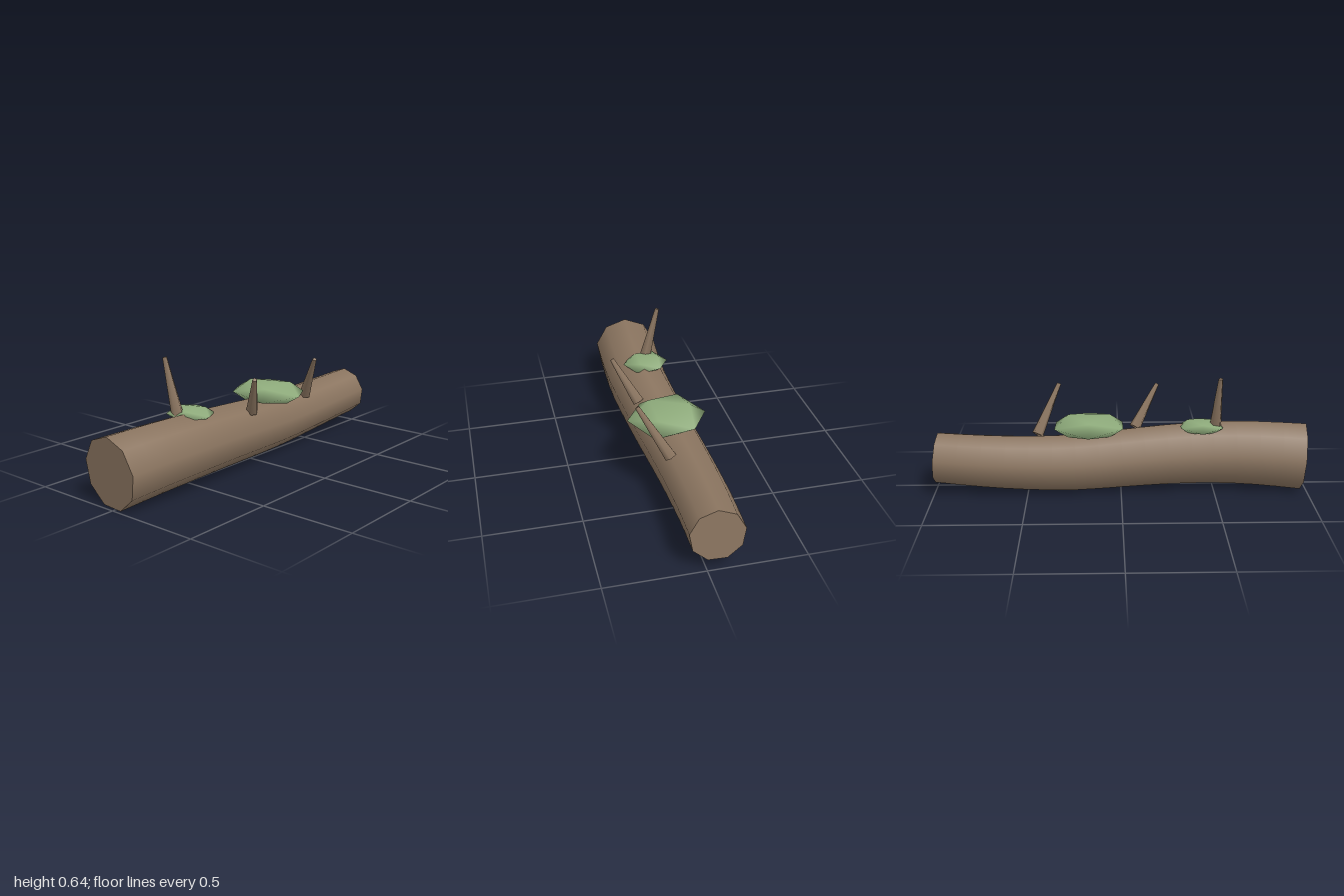
import * as THREE from 'three';

const V = (x, y, z) => new THREE.Vector3(x, y, z);
const UP = V(0, 1, 0);

// Tapered nine-sided log bent along a curve, with a ridge on top
function logGeometry(curve, r0, r1) {
  const geo = new THREE.CylinderGeometry(r1, r0, 1, 9, 16);
  const pos = geo.attributes.position, nor = geo.attributes.normal;
  const p = new THREE.Vector3(), frame = new THREE.Matrix4();
  for (let i = 0; i < pos.count; i++) {
    p.fromBufferAttribute(pos, i);
    const t = THREE.MathUtils.clamp(p.y + 0.5, 0, 1);
    const tangent = curve.getTangentAt(t);
    const side = tangent.clone().cross(UP).normalize();
    const top = side.clone().cross(tangent);
    frame.makeBasis(side, tangent, top);
    p.setY(0).applyMatrix4(frame).add(curve.getPointAt(t));
    pos.setXYZ(i, p.x, p.y, p.z);
    p.fromBufferAttribute(nor, i).transformDirection(frame);
    nor.setXYZ(i, p.x, p.y, p.z);
  }
  return geo;
}

// Smooth icosahedron standing on a face, squashed to a flat clump
function clumpGeometry(radius, height) {
  const geo = new THREE.IcosahedronGeometry(1, 0);
  const turn = new THREE.Quaternion().setFromUnitVectors(V(1, 1, 1).normalize(), UP);
  geo.applyQuaternion(turn);
  // Turn one lower corner to point backwards
  const pos = geo.attributes.position, p = new THREE.Vector3();
  let angle = 0;
  for (let i = 0; i < pos.count; i++) {
    p.fromBufferAttribute(pos, i);
    if (p.y < 0 && p.y > -0.4) angle = Math.atan2(p.x, p.z);
  }
  geo.rotateY(Math.PI - angle);
  // Normals follow the corners so that the faces blend
  for (let i = 0; i < pos.count; i++) {
    p.fromBufferAttribute(pos, i).normalize();
    geo.attributes.normal.setXYZ(i, p.x, p.y, p.z);
  }
  geo.scale(radius, height, radius);
  return geo;
}

export function createModel() {
  const group = new THREE.Group();
  const bark = new THREE.MeshStandardMaterial({ color: 0x8b7560 });
  bark.name = 'bark';
  const moss = new THREE.MeshStandardMaterial({ color: 0x8fac7c });
  moss.name = 'moss';

  const add = (name, geo, mat) => {
    const mesh = new THREE.Mesh(geo, mat);
    mesh.name = name;
    group.add(mesh);
    return mesh;
  };

  // Log
  const path = new THREE.CatmullRomCurve3([
    V(-0.985, 0.177, -0.029), V(-0.75, 0.19, -0.01), V(-0.5, 0.194, -0.001),
    V(-0.25, 0.187, -0.011), V(0, 0.173, -0.029), V(0.25, 0.16, -0.05),
    V(0.5, 0.163, -0.06), V(0.75, 0.176, -0.06), V(0.985, 0.193, -0.05),
  ]);
  add('log', logGeometry(path, 0.183, 0.137), bark);

  // Twigs: base and tip
  const twigs = [
    [V(-0.505, 0.35, -0.048), V(-0.514, 0.64, -0.123)],
    [V(-0.08, 0.305, 0.082), V(-0.205, 0.516, 0.202)],
    [V(0.45, 0.285, 0.035), V(0.335, 0.528, 0.181)],
  ];
  twigs.forEach(([base, tip], i) => {
    const dir = tip.clone().sub(base);
    const geo = new THREE.CylinderGeometry(0.012, 0.033, dir.length(), 5);
    const twig = add('twig' + (i + 1), geo, bark);
    twig.position.copy(base).lerp(tip, 0.5);
    twig.quaternion.setFromUnitVectors(UP, dir.normalize());
  });

  // Moss clumps
  const large = add('largeMossClump', clumpGeometry(0.213, 0.056), moss);
  large.position.set(0.17, 0.35, -0.01);
  large.rotation.x = 0.05;
  const small = add('smallMossClump', clumpGeometry(0.13, 0.034), moss);
  small.position.set(-0.43, 0.35, -0.033);
  small.rotation.x = 0.05;

  return group;
}
